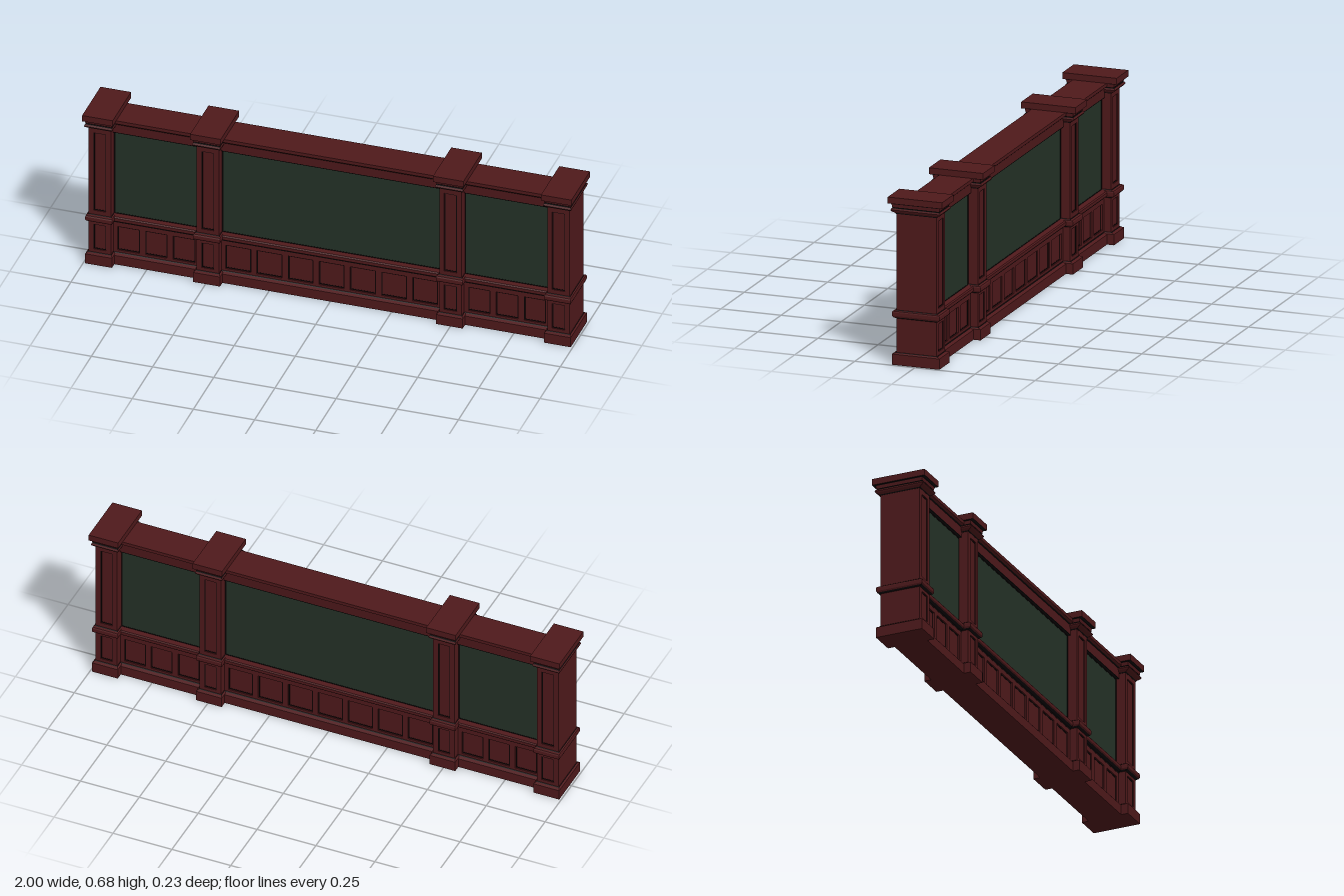
import * as THREE from 'three';

const wood = new THREE.MeshStandardMaterial({ color: 0x4f191b });
wood.name = 'mahogany wood';
const glass = new THREE.MeshStandardMaterial({ color: 0x243227 });
glass.name = 'dark green panel';
const crevice = new THREE.MeshStandardMaterial({ color: 0x0c0506 });
crevice.name = 'blackened crevice';

function add(group, name, geometry, material = wood) {
  const mesh = new THREE.Mesh(geometry, material);
  mesh.name = name;
  group.add(mesh);
  return mesh;
}

// Four-sided solid from [y, half depth, dark?] rows; a dark row blackens the
// step above it. halfWidth(r) gives the half width for each half depth.
function stepped(group, name, rows, halfWidth) {
  const pts = rows.map(([y, r]) => new THREE.Vector2(r * Math.SQRT2, y));
  pts.unshift(new THREE.Vector2(0, rows[0][0]));
  pts.push(new THREE.Vector2(0, rows[rows.length - 1][0]));
  const g = new THREE.LatheGeometry(pts, 4, Math.PI / 4).toNonIndexed();
  const pos = g.attributes.position;
  for (let i = 0; i < pos.count; i++) {
    const x = pos.getX(i);
    if (Math.abs(x) > 1e-6) pos.setX(i, Math.sign(x) * halfWidth(Math.abs(x)));
  }
  g.computeVertexNormals();
  g.clearGroups();
  const steps = pts.length - 1;
  for (let side = 0; side < 4; side++) {
    for (let j = 0; j < steps; j++) {
      const dark = j > 0 && rows[j - 1][2];
      g.addGroup((side * steps + j) * 6, 6, dark ? 1 : 0);
    }
  }
  return add(group, name, g, [wood, crevice]);
}

function rect(Type, [x0, x1, y0, y1]) {
  const p = new Type();
  p.moveTo(x0, y0);
  p.lineTo(x1, y0);
  p.lineTo(x1, y1);
  p.lineTo(x0, y1);
  p.closePath();
  return p;
}

// Flat plate with rectangular openings, one on the front and one on the back
function plates(group, name, outer, holes, z0, z1, material = wood) {
  const shape = rect(THREE.Shape, outer);
  holes.forEach(h => shape.holes.push(rect(THREE.Path, h)));
  const g = new THREE.ExtrudeGeometry(shape, { depth: z1 - z0, bevelEnabled: false });
  add(group, name + 'Front', g.clone().translate(0, 0, z0), material);
  add(group, name + 'Back', g.translate(0, 0, -z1), material);
}

// Thin black line around the inside edge of a recess whose floor is at z
function outline(group, name, [x0, x1, y0, y1], z, t) {
  plates(group, name, [x0, x1, y0, y1], [[x0 + t, x1 - t, y0 + t, y1 - t]], z - 0.001, z + 0.001, crevice);
}

const SHAFT = 0.0455;  // pillar shaft half width
const pillarWidth = r => r * 0.553;

function pillar(x, name) {
  const p = new THREE.Group();
  p.name = name;
  p.position.x = x;
  const core = add(p, 'pillarCore', new THREE.BoxGeometry(SHAFT * 2, 0.62, 0.158));
  core.position.y = 0.32;
  const recesses = [[-0.026, 0.026, 0.063, 0.175], [-0.026, 0.026, 0.238, 0.59]];
  plates(p, 'pillarFrame', [-SHAFT, SHAFT, 0.04, 0.62], recesses, 0.079, 0.084);
  recesses.forEach(r => outline(p, 'pillarRecessLine', r, 0.079, 0.004));
  stepped(p, 'pillarBase',
    [[0, 0.099], [0.043, 0.099], [0.047, 0.088, 1], [0.049, 0.0845]], pillarWidth);
  stepped(p, 'pillarBand', [[0.187, 0.0845, 1], [0.192, 0.095], [0.198, 0.099], [0.211, 0.099],
    [0.216, 0.096], [0.218, 0.088, 1], [0.22, 0.0845]], pillarWidth);
  stepped(p, 'pillarCrown', [[0.608, 0.0845, 1], [0.612, 0.087], [0.619, 0.1], [0.625, 0.104],
    [0.631, 0.1, 1], [0.633, 0.095, 1], [0.636, 0.098], [0.648, 0.1, 1], [0.652, 0.1]], pillarWidth);
  stepped(p, 'pillarCap', [[0.651, 0.098, 1], [0.6511, 0.113], [0.677, 0.113]], pillarWidth);
  return p;
}

function bay(x0, x1, count, name) {
  const b = new THREE.Group();
  b.name = name;
  const half = (x1 - x0) / 2;
  b.position.x = (x0 + x1) / 2;
  const inner = half - SHAFT;
  const bayWidth = () => half;

  // Wainscot with a row of recessed square panels
  add(b, 'wainscotCore', new THREE.BoxGeometry(half * 2, 0.19, 0.096)).position.y = 0.105;
  const pitch = (inner * 2 - 0.01) / count;
  const holes = [];
  for (let i = 0; i < count; i++) {
    const c = pitch * (i + 0.5 - count / 2), h = pitch / 2 - 0.012;
    holes.push([c - h, c + h, 0.058, 0.163]);
  }
  plates(b, 'wainscotFrame', [-half, half, 0.03, 0.195], holes, 0.048, 0.054);
  holes.forEach(h => outline(b, 'wainscotRecessLine', h, 0.048, 0.004));
  stepped(b, 'skirting', [[0, 0.07], [0.04, 0.07], [0.045, 0.058, 1], [0.048, 0.0545]], bayWidth);
  stepped(b, 'chairRail', [[0.182, 0.0545, 1], [0.188, 0.056, 1], [0.193, 0.067], [0.198, 0.07],
    [0.209, 0.07], [0.214, 0.066], [0.217, 0.046]], bayWidth);

  // Large panel between the rails, with a black edge line
  add(b, 'largePanel', new THREE.BoxGeometry(half * 2, 0.4, 0.088), glass).position.y = 0.405;
  outline(b, 'panelEdgeLine', [-inner, inner, 0.215, 0.589], 0.044, 0.005);

  // Top rail and cornice
  stepped(b, 'topRail', [[0.588, 0.044, 1], [0.5881, 0.056, 1], [0.591, 0.056], [0.628, 0.058, 1],
    [0.632, 0.062], [0.638, 0.07], [0.652, 0.07]], bayWidth);
  return b;
}

export function createModel() {
  const model = new THREE.Group();
  model.name = 'panelledPartition';
  const xs = [-0.9375, -0.496, 0.496, 0.9375];
  const names = ['rightEndPillar', 'rightMiddlePillar', 'leftMiddlePillar', 'leftEndPillar'];
  xs.forEach((x, i) => model.add(pillar(x, names[i])));
  model.add(bay(xs[0], xs[1], 3, 'rightBay'));
  model.add(bay(xs[1], xs[2], 7, 'middleBay'));
  model.add(bay(xs[2], xs[3], 3, 'leftBay'));
  return model;
}
